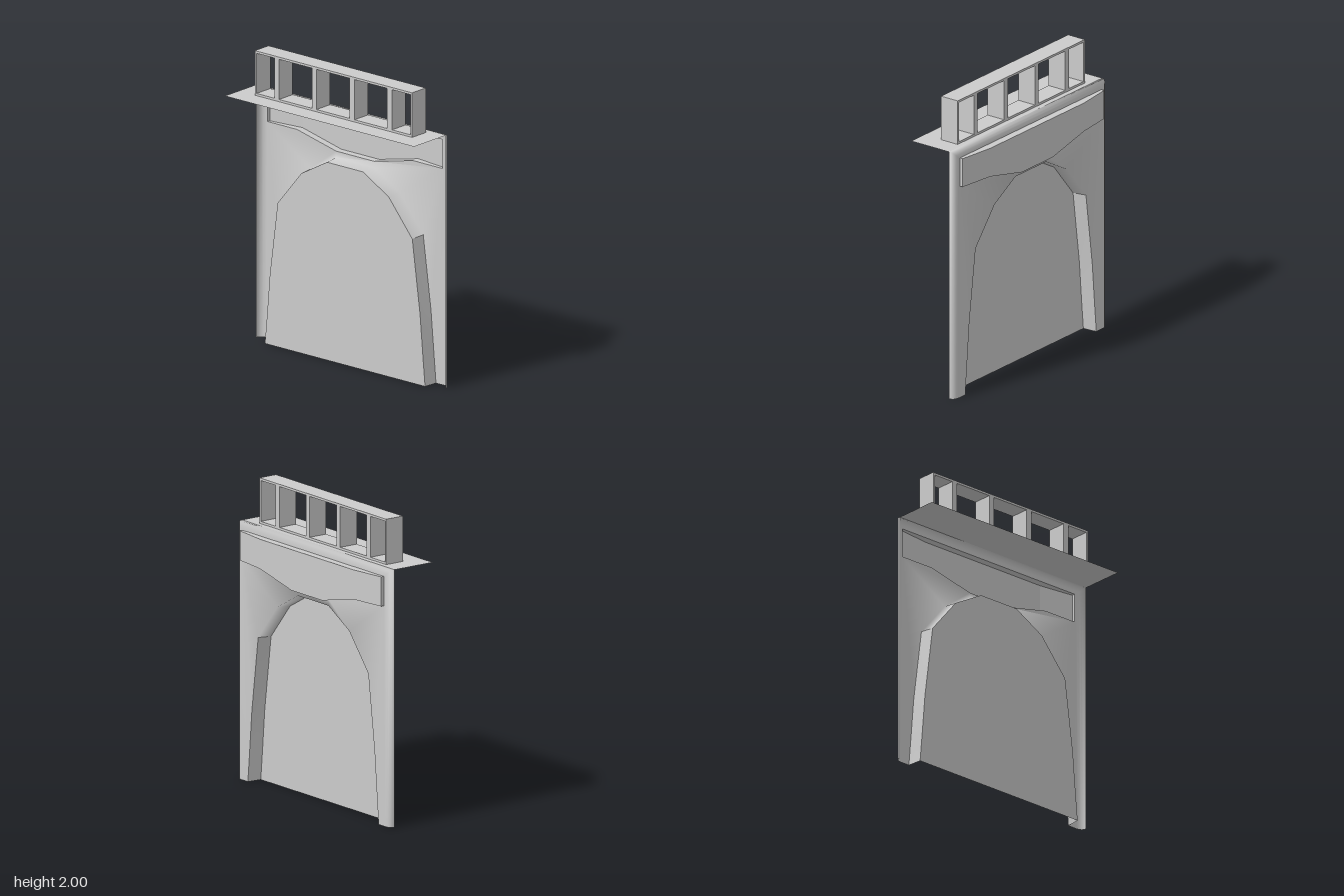
import * as THREE from 'three';
import { mergeGeometries, mergeVertices } from 'three/addons/utils/BufferGeometryUtils.js';

const WALL_Z = -0.148, RIM_Z = -0.107, DOOR_Z = -0.05, TOP = 1.7, HALF = 0.8;

const material = new THREE.MeshStandardMaterial({ color: 0xcccccc, side: THREE.DoubleSide });

// Band of quads between two rows of points [x, y, z]
function strip(a, b) {
  const index = [], n = a.length;
  for (let i = 0; i < n - 1; i++) index.push(i, i + 1, n + i, i + 1, n + i + 1, n + i);
  const g = new THREE.BufferGeometry();
  g.setAttribute('position', new THREE.Float32BufferAttribute([...a, ...b].flat(), 3));
  g.setIndex(index);
  return g;
}

// Flat outline at depth z, facing -z
function flat(points, z, holes = []) {
  const toVec = ([x, y]) => new THREE.Vector2(x, y);
  const shape = new THREE.Shape(points.map(toVec));
  shape.holes = holes.map((h) => new THREE.Path(h.map(toVec)));
  const g = new THREE.ShapeGeometry(shape).translate(0, 0, z);
  g.setIndex([...g.index.array].reverse());
  g.deleteAttribute('uv');
  g.deleteAttribute('normal');
  return g;
}

function smooth(parts) {
  const g = mergeVertices(mergeGeometries(parts), 1e-4);
  g.computeVertexNormals();
  return g;
}

function faceted(parts) {
  const g = mergeGeometries(parts).toNonIndexed();
  g.computeVertexNormals();
  return g;
}

const atZ = (points, z) => points.map(([x, y]) => [x, y, z]);
const mirrorX = (points) => points.map(([x, y]) => [-x, y]);

export function createModel() {
  const model = new THREE.Group();
  const add = (name, geometry, parent = model) => {
    const mesh = new THREE.Mesh(geometry, material);
    mesh.name = name;
    parent.add(mesh);
    return mesh;
  };

  // Arch outline, from the -x foot over the crown to the +x foot
  const half = [[0.685, 0], [0.667, 0.2], [0.643, 0.48], [0.577, 0.975], [0.378, 1.215], [0.16, 1.337]];
  const arch = [...mirrorX(half), ...[...half].reverse()];
  const doorOutline = arch.map(([x, y]) => [x - Math.sign(x) * 0.008, y > 0 ? y - 0.006 : 0]);

  // Sign outline as matching top and bottom rows
  const signX = [-0.74, -0.49, -0.16, 0.16, 0.49, 0.74];
  const signY = [1.455, 1.455, 1.38, 1.38, 1.455, 1.455];
  const signTop = signX.map((x) => [x, 1.65]);
  const signBottom = signX.map((x, i) => [x, signY[i]]);
  const signLoop = [...signTop, ...[...signBottom].reverse()];

  // Wall with rounded rim; the arch crown blends smoothly into it
  const rimProfile = [[0, RIM_Z], [0, -0.122], [0.01, -0.136], [0.025, -0.145], [0.045, WALL_Z]];
  const frameLoop = (d) => [[-HALF + d, 0], [-HALF + d, TOP - d], [HALF - d, TOP - d], [HALF - d, 0]];
  const rims = rimProfile.map(([d, z]) => atZ(frameLoop(d), z));
  const wallParts = rims.slice(1).map((r, i) => strip(rims[i], r));
  wallParts.push(flat([...frameLoop(0.045), ...[...arch].reverse()], WALL_Z, [signLoop]));

  const reveal = (from, to) =>
    strip(atZ(arch.slice(from, to), WALL_Z), atZ(doorOutline.slice(from, to), DOOR_Z));
  wallParts.push(reveal(3, 9));
  add('wall', smooth(wallParts));

  // Sharp-edged lower sides of the arch, and the door closing it
  add('archSideRight', smooth([reveal(0, 4)]));
  add('archSideLeft', smooth([reveal(8, 12)]));
  add('door', faceted([flat(doorOutline, DOOR_Z)]));

  // Hollow sign, open towards the inside, with ends set back
  const face = (row) => row.map(([x, y]) => [x, y, Math.abs(x) < 0.5 ? -0.2 : -0.17]);
  const closed = [...signLoop, signLoop[0]];
  add('signShell', faceted([
    strip(face(signBottom), face(signTop)).scale(1, 1, 1),
    strip(face(closed), atZ(closed, WALL_Z)),
  ]));

  // Flat roof sheet
  const roof = new THREE.PlaneGeometry(2 * HALF, 0.2 - RIM_Z).rotateX(-Math.PI / 2);
  add('roof', roof.translate(0, TOP, (0.2 + RIM_Z) / 2));

  // Open roof frame with four posts
  const rack = new THREE.Group();
  rack.name = 'roofFrame';
  model.add(rack);
  const box = (name, w, h, x, y) =>
    add(name, new THREE.BoxGeometry(w, h, 0.134), rack).position.set(x, y, -0.004);
  for (const y of [1.7075, 1.9925]) box('frameRail', 1.33, 0.015, 0, y);
  for (const x of [-0.6575, 0.6575]) box('frameEnd', 0.015, 0.27, x, 1.85);
  for (const x of [-0.48, -0.163, 0.158, 0.475]) box('framePost', 0.04, 0.27, x, 1.85);

  return model;
}
